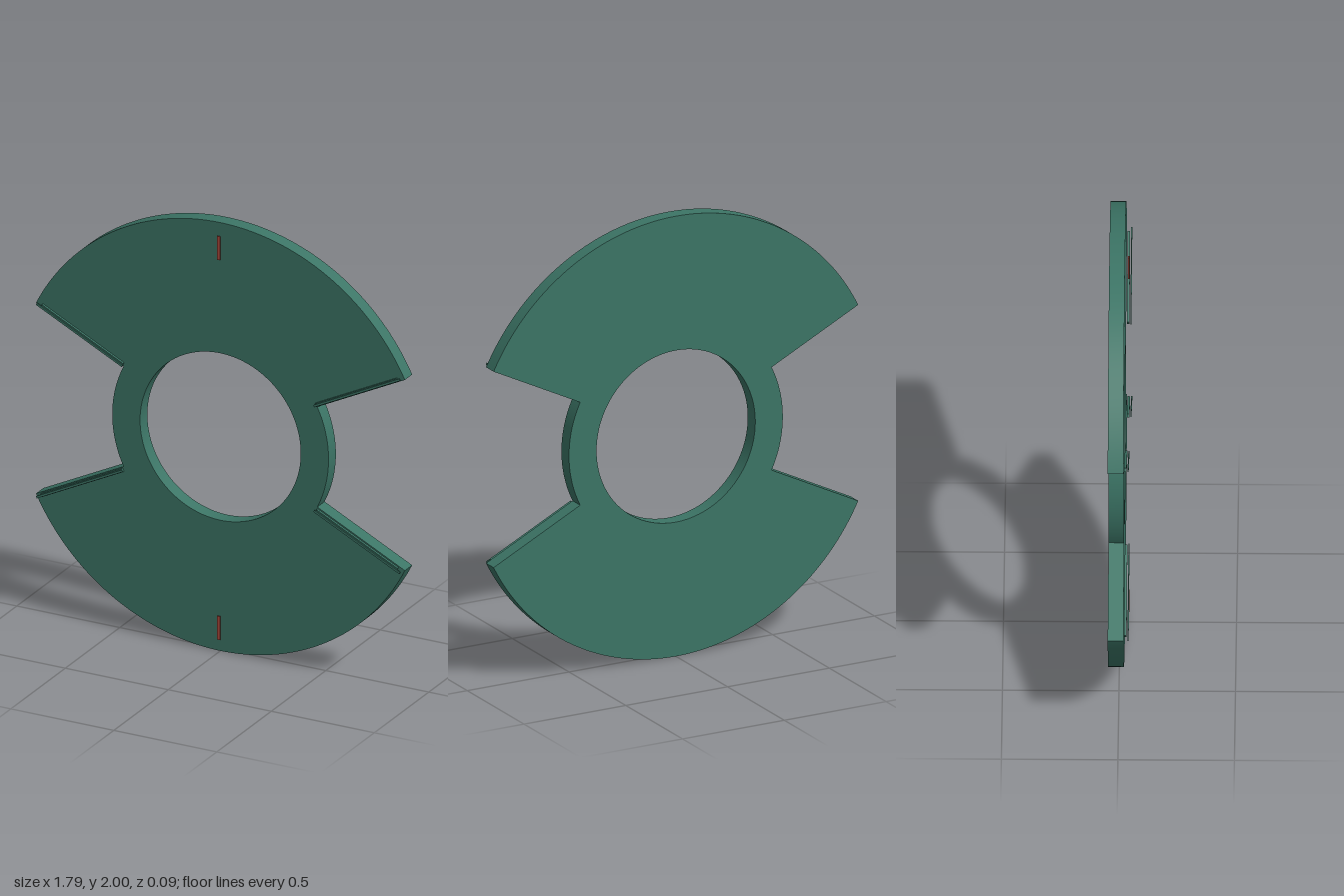
import * as THREE from 'three';
import { toCreasedNormals } from 'three/addons/utils/BufferGeometryUtils.js';

const OUTER = 1, HUB = 0.525, HOLE = 0.39;
const EDGE = Math.atan2(0.445, 0.895); // angle of the wing edges above the horizontal
const BACK = -0.045, FRONT = 0.022;

export function createModel() {
  const model = new THREE.Group();
  const green = new THREE.MeshStandardMaterial({ color: 0x3c7566 });
  const red = new THREE.MeshStandardMaterial({ color: 0xb04a3c });

  function addBox(parent, name, size, position, material) {
    const mesh = new THREE.Mesh(new THREE.BoxGeometry(...size), material);
    mesh.name = name;
    mesh.position.set(...position);
    parent.add(mesh);
  }

  // Disc: two wide wings joined by a narrow ring around the central hole
  const outline = new THREE.Shape();
  outline.absarc(0, 0, OUTER, EDGE, Math.PI - EDGE, false);
  outline.absarc(0, 0, HUB, Math.PI - EDGE, Math.PI + EDGE, false);
  outline.absarc(0, 0, OUTER, Math.PI + EDGE, 2 * Math.PI - EDGE, false);
  outline.absarc(0, 0, HUB, -EDGE, EDGE, false);
  const hole = new THREE.Path();
  hole.absarc(0, 0, HOLE, 0, Math.PI * 2, true);
  outline.holes.push(hole);
  const discGeometry = new THREE.ExtrudeGeometry(outline, {
    depth: FRONT - BACK, bevelEnabled: false, curveSegments: 64,
  });
  const disc = new THREE.Mesh(toCreasedNormals(discGeometry, 0.5), green);
  disc.name = 'wingedDisc';
  disc.position.set(0, 1, BACK);
  model.add(disc);

  // Raised strips along the four wing edges, each with a thin cover plate
  for (const side of [1, -1]) {
    for (const up of [1, -1]) {
      const strip = new THREE.Group();
      strip.name = (up > 0 ? 'upper' : 'lower') + (side > 0 ? 'Left' : 'Right') + 'EdgeStrip';
      strip.position.y = 1;
      strip.rotation.z = side > 0 ? up * EDGE : Math.PI - up * EDGE;
      const inward = side * up; // direction from the edge into the wing
      addBox(strip, 'stripBase', [0.44, 0.016, 0.011], [0.75, inward * 0.012, 0.0305], green);
      addBox(strip, 'stripCover', [0.465, 0.01, 0.005], [0.758, inward * 0.012, 0.0425], green);
      model.add(strip);
    }
  }

  // Red index marks near the top and bottom rims
  for (const up of [1, -1]) {
    addBox(model, up > 0 ? 'topMark' : 'bottomMark', [0.014, 0.11, 0.006], [0, 1 + up * 0.887, 0.037], red);
  }
  return model;
}
